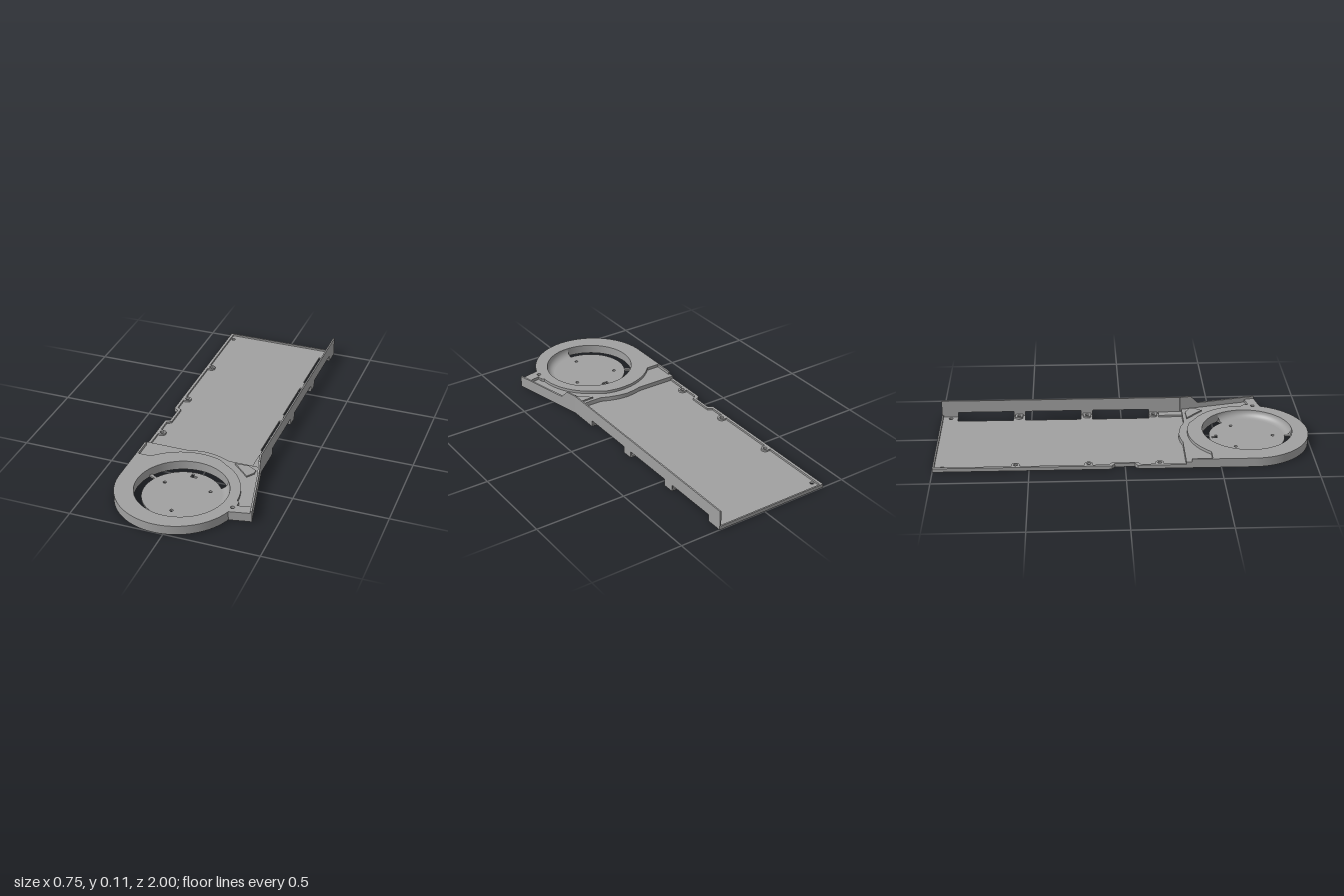
import * as THREE from 'three';
import { toCreasedNormals } from 'three/addons/utils/BufferGeometryUtils.js';

const grey = new THREE.MeshStandardMaterial({ color: 0xa0a0a0, side: THREE.DoubleSide });
grey.name = 'grey plastic';

// Arc as [x, z] points; angles in degrees, from +x towards +z
function arc(cx, cz, r, a0, a1, n = 48) {
  return Array.from({ length: n + 1 }, (_, i) => {
    const a = THREE.MathUtils.degToRad(a0 + (a1 - a0) * i / n);
    return [cx + r * Math.cos(a), cz + r * Math.sin(a)];
  });
}
const circle = (x, z, r, n = 20) => arc(x, z, r, 0, 360 - 360 / n, n - 1);
const toVectors = pts => pts.map(([x, z]) => new THREE.Vector2(x, -z));

// Flat slab from a plan outline, between heights y0 and y1
function slab(name, outline, y0, y1, holes = []) {
  const shape = new THREE.Shape(toVectors(outline));
  holes.forEach(h => shape.holes.push(new THREE.Path(toVectors(h))));
  const geo = new THREE.ExtrudeGeometry(shape, { depth: y1 - y0, bevelEnabled: false });
  geo.rotateX(-Math.PI / 2).translate(0, y0, 0);
  const mesh = new THREE.Mesh(toCreasedNormals(geo, 0.5), grey);
  mesh.name = name;
  return mesh;
}

// Upright wall from a (distance, height) profile, starting at [x, z]
function wall(name, [x, z], [x2, z2], profile, thickness) {
  const shape = new THREE.Shape(profile.map(p => new THREE.Vector2(...p)));
  const mesh = new THREE.Mesh(
    new THREE.ExtrudeGeometry(shape, { depth: thickness, bevelEnabled: false }), grey);
  mesh.position.set(x, 0, z);
  mesh.rotation.y = Math.atan2(z - z2, x2 - x);
  mesh.name = name;
  return mesh;
}

export function createModel() {
  const model = new THREE.Group();
  const FLOOR = 0.01, RIM = 0.02, DECK = 0.034, TOP = 0.05;
  const hub = [-0.032, 0.673], rIn = 0.243, rDisc = 0.205;
  const windows = [[-0.91, -0.6], [-0.535, -0.225], [-0.16, 0.155]];
  const screwRows = [-0.57, -0.19, 0.18];
  const frontEdge = [[0.368, 0.757], [0.26, 0.78], ...arc(-0.05, 0.675, 0.325, 19, 180, 64)];
  const notch = [[-0.375, 0.065], [-0.35, 0.05], [-0.35, -0.055], [-0.375, -0.07]];

  // Floor plate with edge windows, hub slots and screw holes
  const rightEdge = windows.flatMap(([a, b]) => [[0.27, a], [0.21, a], [0.21, b], [0.27, b]]);
  const slot = (a, b) => [...arc(...hub, rIn, a, b), ...arc(...hub, rDisc, b, a)];
  const screws = [-0.95, ...screwRows].flatMap(z => [[-0.345, z], [0.245, z]]);
  const floorHoles = [
    slot(90, 205), slot(209, 325),
    [[-0.05, 0.482], [-0.036, 0.482], [-0.036, 0.5], [-0.015, 0.5], [-0.015, 0.512], [-0.05, 0.512]],
    ...[[-0.155, 0.6], [0.095, 0.6], [-0.03, 0.815]].map(p => circle(...p, 0.009)),
    ...screws.map(p => circle(...p, 0.011)),
    circle(0.265, 0.74, 0.011),
  ];
  model.add(slab('floorPlate',
    [[-0.375, -1], [0.27, -1], ...rightEdge, [0.272, 0.32], ...frontEdge, ...notch],
    0, FLOOR, floorHoles));

  // Low rim on the left edge and lip at the back
  model.add(slab('leftRim', [
    [-0.375, -1], [-0.36, -1], [-0.36, -0.085], [-0.336, -0.068], [-0.336, 0.063],
    [-0.36, 0.08], [-0.36, 0.32], [-0.375, 0.32], ...notch], FLOOR, RIM));
  model.add(slab('backLip', [[-0.36, -1], [0.27, -1], [0.27, -0.992], [-0.36, -0.992]], FLOOR, RIM));

  // Screw bosses along both long edges
  for (const z of screwRows) {
    model.add(slab('leftBoss', [[-0.362, z - 0.022], ...arc(-0.345, z, 0.022, -90, 90, 16),
      [-0.362, z + 0.022]], FLOOR, RIM, [circle(-0.345, z, 0.011)]));
    model.add(slab('rightBoss', [[0.268, z + 0.022], ...arc(0.243, z, 0.022, 90, 270, 16),
      [0.268, z - 0.022]], FLOOR, RIM, [circle(0.245, z, 0.011)]));
  }
  model.add(slab('sideStrip', [[0.222, 0.21], [0.268, 0.21], [0.268, 0.34], [0.222, 0.34]], FLOOR, RIM));

  // Stepped deck around the hub
  model.add(slab('deck', [
    [-0.375, 0.317], [-0.14, 0.317], [-0.1, 0.306], [-0.05, 0.301], [0, 0.306], [0.05, 0.32],
    [0.1, 0.34], [0.277, 0.34], ...frontEdge], FLOOR, DECK,
    [circle(...hub, rIn, 96), circle(0.265, 0.74, 0.011)]));
  model.add(slab('cornerLip', [[-0.375, 0.345], [-0.365, 0.345], [-0.365, 0.456], [-0.375, 0.456]], DECK, TOP));
  model.add(slab('deckBoss', [[0.14, 0.36], [0.215, 0.357], [0.263, 0.385], [0.263, 0.41],
    [0.235, 0.45], [0.21, 0.425]], DECK, DECK + 0.008));

  // Raised ring with its square shoulder and the arm end
  model.add(slab('ring', [
    [-0.375, 0.455], [-0.292, 0.455], ...arc(-0.05, 0.675, 0.327, 222, 290, 32),
    ...arc(-0.05, 0.675, 0.316, 300, 360, 24), [0.28, 0.69], [0.28, 0.718], [0.345, 0.705],
    [0.358, 0.705], ...frontEdge], DECK, TOP,
    [circle(...hub, rIn, 96), circle(0.265, 0.74, 0.011)]));

  // Curved bowl joining the disc to the ring
  const profile = Array.from({ length: 9 }, (_, i) => {
    const t = i / 8 * Math.PI / 2;
    return new THREE.Vector2(rDisc + (rIn - rDisc) * Math.sin(t), TOP - (TOP - FLOOR) * Math.cos(t));
  });
  const bowl = new THREE.Mesh(
    new THREE.LatheGeometry(profile, 40, 0, THREE.MathUtils.degToRad(125)), grey);
  bowl.name = 'bowl';
  bowl.position.set(hub[0], 0, hub[1]);
  model.add(bowl);

  // Tall side wall, open at the bottom over the windows
  const cuts = windows.flatMap(([a, b]) => [[a + 1, 0], [a + 1, 0.037], [b + 1, 0.037], [b + 1, 0]]);
  model.add(wall('sideWall', [0.275, -1], [0.275, 0.33],
    [[0, 0], ...cuts, [1.33, 0], [1.33, 0.107], [0, 0.107]], 0.008));

  // Angled wall dropping down to the arm end
  model.add(wall('armWall', [0.275, 0.33], [0.373, 0.757],
    [[0, 0], [0.438, 0], [0.438, 0.063], [0.105, 0.063], [0.062, 0.107], [0, 0.107]], 0.01));

  return model;
}
